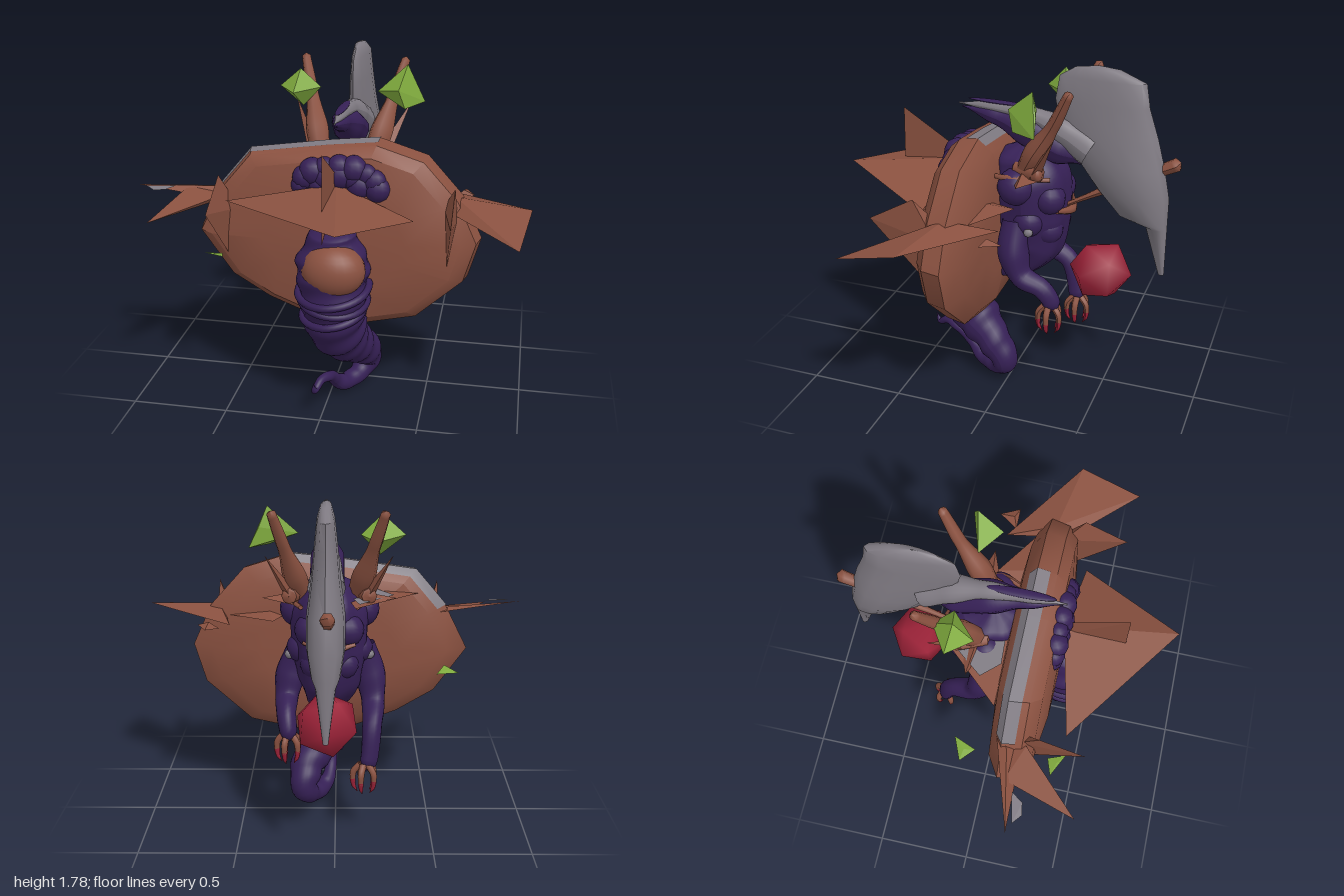
import * as THREE from 'three';
import { toCreasedNormals } from 'three/addons/utils/BufferGeometryUtils.js';
import { ConvexGeometry } from 'three/addons/geometries/ConvexGeometry.js';

const mat = (name, color) => Object.assign(new THREE.MeshStandardMaterial({ color, side: THREE.DoubleSide }), { name });
const V = (p) => new THREE.Vector3(...p);

export function createModel() {
  const brown = mat('rustBrown', 0x8a5140), purple = mat('deepPurple', 0x362056);
  const grey = mat('boneGrey', 0x7f7a82), green = mat('crystalGreen', 0x80ab3e), red = mat('orbRed', 0x9c2238);
  const model = new THREE.Group();
  const add = (name, geometry, material, parent = model) => {
    const mesh = new THREE.Mesh(geometry, material);
    mesh.name = name;
    parent.add(mesh);
    return mesh;
  };

  // Flat-faced shard spanning a few corner points
  const shard = (name, pts, material = brown) => add(name, new ConvexGeometry(pts.map(V)), material);

  // Tapered tube through [x, y, z, radius] points, with optional spiral ridges
  function limb(name, pts, material, { seg = 32, sides = 16, ridge = 0, turns = 0, lobes = 1, parent = model } = {}) {
    const curve = new THREE.CatmullRomCurve3(pts.map((p) => new THREE.Vector3(p[0], p[1], p[2])));
    const geo = new THREE.TubeGeometry(curve, seg, 1, sides);
    const pos = geo.attributes.position, v = new THREE.Vector3();
    for (let i = 0; i <= seg; i++) {
      const u = i / seg, c = curve.getPointAt(u), t = curve.getUtoTmapping(u) * (pts.length - 1);
      const k = Math.min(Math.floor(t), pts.length - 2);
      const r = THREE.MathUtils.lerp(pts[k][3], pts[k + 1][3], THREE.MathUtils.smoothstep(t - k, 0, 1));
      for (let j = 0; j <= sides; j++) {
        const n = i * (sides + 1) + j;
        const wave = 1 + ridge * Math.sin(2 * Math.PI * ((lobes * j) / sides + turns * u));
        v.fromBufferAttribute(pos, n).sub(c).multiplyScalar(r * wave).add(c);
        pos.setXYZ(n, v.x, v.y, v.z);
      }
    }
    geo.computeVertexNormals();
    return add(name, geo, material, parent);
  }

  // Skin over rings of points; the faces are turned outward by signed volume
  function loft(rings, closed = true, crease = 0.6) {
    const n = rings[0].length, pts = rings.flat().map(V), idx = [];
    for (let i = 0; i < rings.length - 1; i++) {
      for (let j = 0; j < (closed ? n : n - 1); j++) {
        const k = (j + 1) % n, a = i * n + j, b = i * n + k, c = a + n, d = b + n;
        idx.push(a, b, c, b, d, c);
      }
    }
    let volume = 0;
    for (let i = 0; i < idx.length; i += 3) volume += pts[idx[i]].dot(pts[idx[i + 1]].clone().cross(pts[idx[i + 2]]));
    if (volume < 0) idx.reverse();
    const geo = new THREE.BufferGeometry().setFromPoints(pts);
    geo.setIndex(idx);
    return toCreasedNormals(geo, crease);
  }

  // Great faceted shell disc
  const rim = [[-0.42, 1.33], [0, 1.39], [0.24, 1.415], [0.48, 1.34], [0.66, 1.14], [0.76, 0.92], [0.7, 0.71], [0.46, 0.49],
    [0.2, 0.43], [-0.1, 0.45], [-0.33, 0.54], [-0.53, 0.66], [-0.7, 0.9], [-0.58, 1.14]];
  const ring = (z, s, outline = rim) => outline.map(([x, y]) => [0.03 + (x - 0.03) * s, 0.92 + (y - 0.92) * s, z]);
  add('shell', loft([ring(0.315, 0.001), ring(0.31, 0.5), ring(0.275, 0.87), ring(0.22, 0.97), ring(0.12, 1),
    ring(0.055, 0.85), ring(0.03, 0.5), ring(0.03, 0.001)]), brown);
  const topEdge = [[-0.58, 1.14], [-0.42, 1.33], [0, 1.39], [0.24, 1.415]];
  add('shellTopStripe', loft([ring(0.185, 0.989, topEdge), ring(0.12, 1.008, topEdge), ring(0.085, 0.928, topEdge)], false), grey);

  // Shards around the shell
  shard('frontShard', [[-0.48, 1.14, 0.42], [0.15, 1.17, 0.87], [0.44, 1.07, 0.35], [0.05, 1.22, 0.3], [0.1, 1.1, 0.3]]);
  shard('frontFin', [[0.04, 1.46, 0.61], [0.04, 1.02, 0.62], [0.03, 1.1, 0.25], [0.05, 1.22, 0.22]]);
  shard('rightWing', [[1, 1.12, 0.22], [0.95, 1.03, 0.55], [0.6, 1.08, 0.22], [0.54, 1.09, -0.1], [0.62, 1.14, 0.15]]);
  shard('leftWing', [[-1, 1.13, 0.23], [-0.42, 1.1, 0.05], [-0.55, 1.07, 0.22], [-0.6, 1.12, 0.15]]);
  shard('leftWingPoint', [[-0.85, 1.04, 0.54], [-0.75, 1.12, 0.17], [-0.5, 1.08, 0.14], [-0.56, 1.1, 0.24]]);
  shard('leftWingPatch', [[-0.95, 1.132, 0.25], [-0.8, 1.133, 0.22], [-0.84, 1.128, 0.28], [-0.9, 1.124, 0.29]], grey);
  shard('rightBackPlate', [[0.32, 1.11, -0.1], [0.58, 1.1, 0.07], [0.5, 1.1, 0.16], [0.25, 1.1, 0.1], [0.35, 1.13, 0.08]]);
  shard('leftBackPlate', [[-0.43, 1.22, 0.05], [-0.1, 1.24, -0.32], [-0.02, 1.25, 0.05], [-0.2, 1.21, 0.08]]);
  shard('leftBackPlateTop', [[-0.3, 1.238, -0.05], [-0.12, 1.25, -0.28], [-0.03, 1.257, 0.03], [-0.22, 1.244, 0.04]], grey);
  for (const s of [-1, 1]) {
    const x = s > 0 ? 0.6 : -0.52;
    shard('sideFin', [[x + s * 0.03, 1.23, 0.3], [x + s * 0.03, 1.1, 0.53], [x, 0.8, 0.27], [x + 0.04, 1.02, 0.18], [x - 0.03, 1.1, 0.2]]);
  }
  shard('strayShard', [[0.66, 1.08, -0.16], [0.6, 1.06, -0.06], [0.71, 1.08, -0.06], [0.65, 1.1, -0.08]]);

  // Tapering coiled tail in front of the shell
  limb('tail', [[0.04, 1.04, 0.35, 0.01], [0.04, 0.98, 0.34, 0.12], [0.04, 0.82, 0.345, 0.185], [0.045, 0.65, 0.36, 0.17],
    [0.05, 0.48, 0.32, 0.155], [0.09, 0.34, 0.21, 0.125], [0.16, 0.22, 0.07, 0.09], [0.17, 0.12, 0.01, 0.07],
    [0.12, 0.055, 0.09, 0.05], [0.06, 0.06, 0.19, 0.044], [0.03, 0.12, 0.26, 0.034], [0.02, 0.18, 0.35, 0.027],
    [-0.01, 0.19, 0.43, 0.022], [-0.03, 0.16, 0.48, 0.017], [-0.03, 0.21, 0.5, 0.003]],
  purple, { seg: 130, sides: 24, ridge: 0.045, turns: 15 });
  [[0.69, 0.18, 0.1], [0.64, 0.17, -0.1], [0.57, 0.16, 0.15]].forEach(([y, r, tilt]) => {
    const coil = add('tailCoil', new THREE.TorusGeometry(r, 0.02, 8, 40), purple);
    coil.position.set(0.045, y, 0.355);
    coil.rotation.set(Math.PI / 2 + 0.2, tilt, 0);
  });
  const dome = add('bellyPlate', new THREE.SphereGeometry(1, 24, 16), brown);
  dome.scale.set(0.16, 0.135, 0.12);
  dome.position.set(0.06, 0.82, 0.435);

  // Torso behind the shell, with muscle lumps
  limb('torso', [[0.03, 1.36, -0.05, 0.01], [0.03, 1.28, -0.05, 0.15], [0.03, 1.15, -0.09, 0.195], [0.03, 0.98, -0.1, 0.19],
    [0.03, 0.84, -0.1, 0.165], [0.04, 0.73, -0.02, 0.13], [0.04, 0.72, 0.18, 0.12]], purple,
  { seg: 60, sides: 36, ridge: 0.04, lobes: 7, turns: 0.4 });
  for (const s of [-1, 1]) {
    for (const [x, y, z, r] of [[0.16, 1.17, -0.06, 0.095], [0.14, 0.98, -0.12, 0.08], [0.09, 1.1, -0.21, 0.085], [0.07, 0.92, -0.2, 0.08]]) {
      add('muscle', new THREE.SphereGeometry(r, 16, 12), purple).position.set(0.03 + s * x, y, z);
    }
  }

  // Ruff of lumps poking through the shell front, in two rows
  for (const [count, rx, ry, y0, r] of [[9, 0.19, 0.1, 1.2, 0.055], [5, 0.1, 0.05, 1.21, 0.06]]) {
    for (let i = 0; i < count; i++) {
      const a = (i / (count - 1)) * Math.PI;
      const lump = add('ruffLump', new THREE.SphereGeometry(r + 0.007 * (i % 3), 12, 10), purple);
      lump.position.set(0.06 - Math.cos(a) * rx, y0 + Math.sin(a) * ry, 0.275);
    }
  }

  // Scraps of armour on the back and flank
  limb('backStrap', [[-0.1, 1.04, -0.27, 0.01], [0.03, 1.02, -0.305, 0.025], [0.16, 1.05, -0.265, 0.012]], brown, { sides: 6 });
  for (const [x, y, z] of [[0.235, 0.95, -0.14], [-0.175, 0.95, -0.14]]) {
    const scrap = add('flankScrap', new THREE.SphereGeometry(0.025, 8, 6), grey);
    scrap.position.set(x, y, z);
  }

  // Arms with brown fingers and red nails
  const arms = [
    { name: 'leftArm', p: [[-0.13, 0.98, -0.08, 0.07], [-0.18, 0.82, -0.07, 0.08], [-0.2, 0.68, -0.12, 0.06], [-0.19, 0.6, -0.24, 0.05], [-0.17, 0.42, -0.29, 0.045], [-0.15, 0.37, -0.3, 0.01]] },
    { name: 'rightArm', p: [[0.18, 0.98, -0.06, 0.07], [0.23, 0.82, -0.06, 0.08], [0.25, 0.7, -0.11, 0.06], [0.25, 0.65, -0.22, 0.05], [0.24, 0.57, -0.27, 0.045], [0.24, 0.52, -0.26, 0.01]] },
  ];
  for (const { name, p } of arms) {
    const arm = new THREE.Group();
    arm.name = name;
    model.add(arm);
    limb('armFlesh', p, purple, { parent: arm, ridge: 0.06, lobes: 3, turns: 1 });
    const [hx, hy, hz] = p[p.length - 1];
    for (let i = 0; i < 5; i++) {
      const a = (i / 5) * Math.PI * 2, dx = Math.cos(a), dz = Math.sin(a);
      const at = (r, dy, w) => [hx + dx * r, hy + dy, hz + dz * r, w];
      limb('finger', [at(0.02, 0.04, 0.018), at(0.055, 0, 0.017), at(0.06, -0.05, 0.014)], brown, { seg: 8, sides: 8, parent: arm });
      limb('nail', [at(0.06, -0.04, 0.015), at(0.055, -0.08, 0.011), at(0.035, -0.115, 0.002)], red, { seg: 8, sides: 8, parent: arm });
    }
  }

  // Long head: grey snout over a purple jaw
  limb('snout', [[0.04, 1.52, 0.3, 0.004], [0.04, 1.52, 0.1, 0.03], [0.04, 1.495, -0.1, 0.045], [0.04, 1.43, -0.27, 0.075], [0.04, 1.36, -0.4, 0.09]], grey);
  limb('jaw', [[0.04, 1.505, 0.28, 0.004], [0.04, 1.475, 0.1, 0.045], [0.04, 1.42, -0.08, 0.085], [0.04, 1.35, -0.23, 0.085], [0.04, 1.3, -0.36, 0.03]],
    purple, { ridge: 0.06, lobes: 5 });
  const stripe = add('snoutStripe', new THREE.SphereGeometry(1, 16, 8), purple);
  stripe.scale.set(0.024, 0.008, 0.17);
  stripe.position.set(0.04, 1.546, 0.08);
  stripe.rotation.x = -0.02;

  // Tall blade crest from level slices: [y, front z, back z, half width]
  const slices = [[1.785, -0.42, -0.43, 0.002], [1.77, -0.31, -0.54, 0.025], [1.72, -0.23, -0.66, 0.04], [1.6, -0.21, -0.68, 0.052],
    [1.45, -0.24, -0.73, 0.065], [1.3, -0.33, -0.77, 0.085], [1.15, -0.44, -0.8, 0.085], [1.03, -0.55, -0.8, 0.065],
    [0.99, -0.69, -0.8, 0.045], [0.73, -0.77, -0.8, 0.012], [0.725, -0.785, -0.787, 0.001]];
  add('crest', loft(slices.map(([y, f, b, w]) => Array.from({ length: 14 }, (_, i) => {
    const a = (i / 14) * Math.PI * 2, back = Math.cos(a);
    return [0.04 + Math.sin(a) * w * (1 + 0.35 * back), y, (f + b) / 2 - (back * (f - b)) / 2];
  })), true, 0.9), grey);

  // Stakes: one through the crest and a horn on each shoulder
  limb('crestStake', [[0.03, 1.04, -0.28, 0.012], [0.03, 1.2, -0.57, 0.025], [0.03, 1.34, -0.84, 0.035], [0.03, 1.345, -0.845, 0.001]], brown, { sides: 6 });
  for (const s of [-1, 1]) {
    const x = 0.03 + s * 0.14;
    limb('horn', [[x, 1.25, -0.1, 0.05], [x + s * 0.03, 1.36, -0.16, 0.06], [x + s * 0.08, 1.54, -0.27, 0.032], [x + s * 0.13, 1.72, -0.36, 0.023], [x + s * 0.13, 1.725, -0.365, 0.001]], brown, { sides: 8 });
    limb('hornBase', [[x, 1.26, -0.04, 0.001], [x, 1.26, -0.05, 0.035], [x + s * 0.06, 1.27, -0.2, 0.04], [x + s * 0.06, 1.27, -0.21, 0.001]], brown, { sides: 8 });
    limb('collarBand', [[x + s * 0.03, 1.22, 0.08, 0.012], [x + s * 0.07, 1.23, -0.06, 0.018], [x, 1.22, -0.23, 0.012]], brown, { sides: 6 });
    shard('shoulderShard', [[x + s * 0.2, 1.24, -0.12], [x + s * 0.02, 1.27, -0.1], [x + s * 0.04, 1.22, -0.18], [x + s * 0.05, 1.2, -0.06]]);
    shard('shoulderSplinter', [[x + s * 0.17, 1.5, -0.3], [x, 1.24, -0.12], [x + s * 0.08, 1.25, -0.15], [x + s * 0.03, 1.22, -0.18]]);
  }

  // Green crystals
  shard('leftCrystal', [[-0.23, 1.68, -0.18], [-0.345, 1.58, -0.2], [-0.25, 1.57, -0.08], [-0.125, 1.58, -0.2], [-0.2, 1.56, -0.29], [-0.22, 1.48, -0.19]], green);
  shard('rightCrystal', [[0.33, 1.72, -0.19], [0.42, 1.52, -0.23], [0.18, 1.58, -0.16], [0.3, 1.61, -0.06], [0.33, 1.51, -0.09], [0.37, 1.62, -0.22]], green);
  shard('frontChip', [[-0.62, 0.84, 0.38], [-0.53, 0.83, 0.35], [-0.5, 0.85, 0.44], [-0.55, 0.845, 0.4]], green);
  shard('backChip', [[-0.64, 0.83, -0.09], [-0.52, 0.84, -0.14], [-0.57, 0.85, -0.02], [-0.58, 0.845, -0.08]], green);

  // Red orb held between the hands and the crest
  const orb = add('orb', toCreasedNormals(new THREE.IcosahedronGeometry(0.165, 0), 2), red);
  orb.position.set(0.04, 0.7, -0.47);
  orb.rotation.set(0.5, 0.2, 0.35);

  return model;
}
